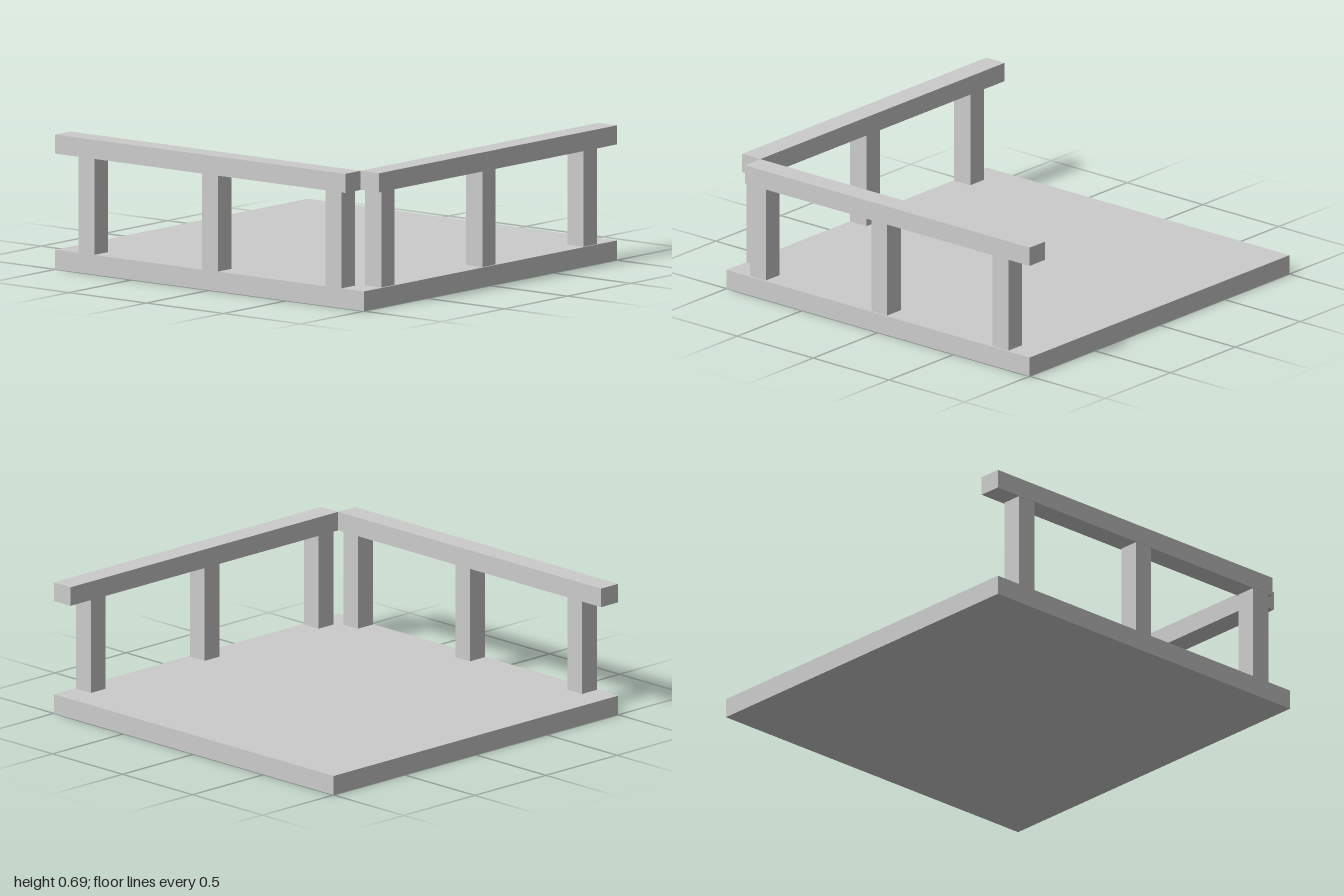
import * as THREE from 'three';

const material = new THREE.MeshStandardMaterial({ color: 0xcccccc, flatShading: true });

// Box given by its minimum and maximum corners
function block(name, [x0, y0, z0], [x1, y1, z1]) {
  const mesh = new THREE.Mesh(new THREE.BoxGeometry(x1 - x0, y1 - y0, z1 - z0), material);
  mesh.name = name;
  mesh.position.set((x0 + x1) / 2, (y0 + y1) / 2, (z0 + z1) / 2);
  return mesh;
}

export function createModel() {
  const model = new THREE.Group();
  model.name = 'railedPlatform';

  const floorTop = 0.1, railBottom = 0.588, railTop = 0.685;
  const railInner = 0.88; // both rails stop here, leaving the corner open

  // Floor slab
  model.add(block('floor', [-1, 0, -1], [1, floorTop, 1]));

  // Handrails along the front and the left side
  const frontRailing = new THREE.Group();
  frontRailing.name = 'frontRailing';
  frontRailing.add(block('frontHandrail', [-1, railBottom, railInner], [railInner, railTop, 1]));

  const leftRailing = new THREE.Group();
  leftRailing.name = 'leftRailing';
  leftRailing.add(block('leftHandrail', [railInner, railBottom, -1], [1, railTop, railInner]));

  // Three posts under each handrail
  for (const c of [-0.8, 0, 0.8]) {
    frontRailing.add(block('frontPost', [c - 0.052, floorTop, 0.89], [c + 0.052, railBottom, 0.997]));
    leftRailing.add(block('leftPost', [0.886, floorTop, c - 0.052], [0.991, railBottom, c + 0.052]));
  }

  model.add(frontRailing, leftRailing);
  return model;
}
